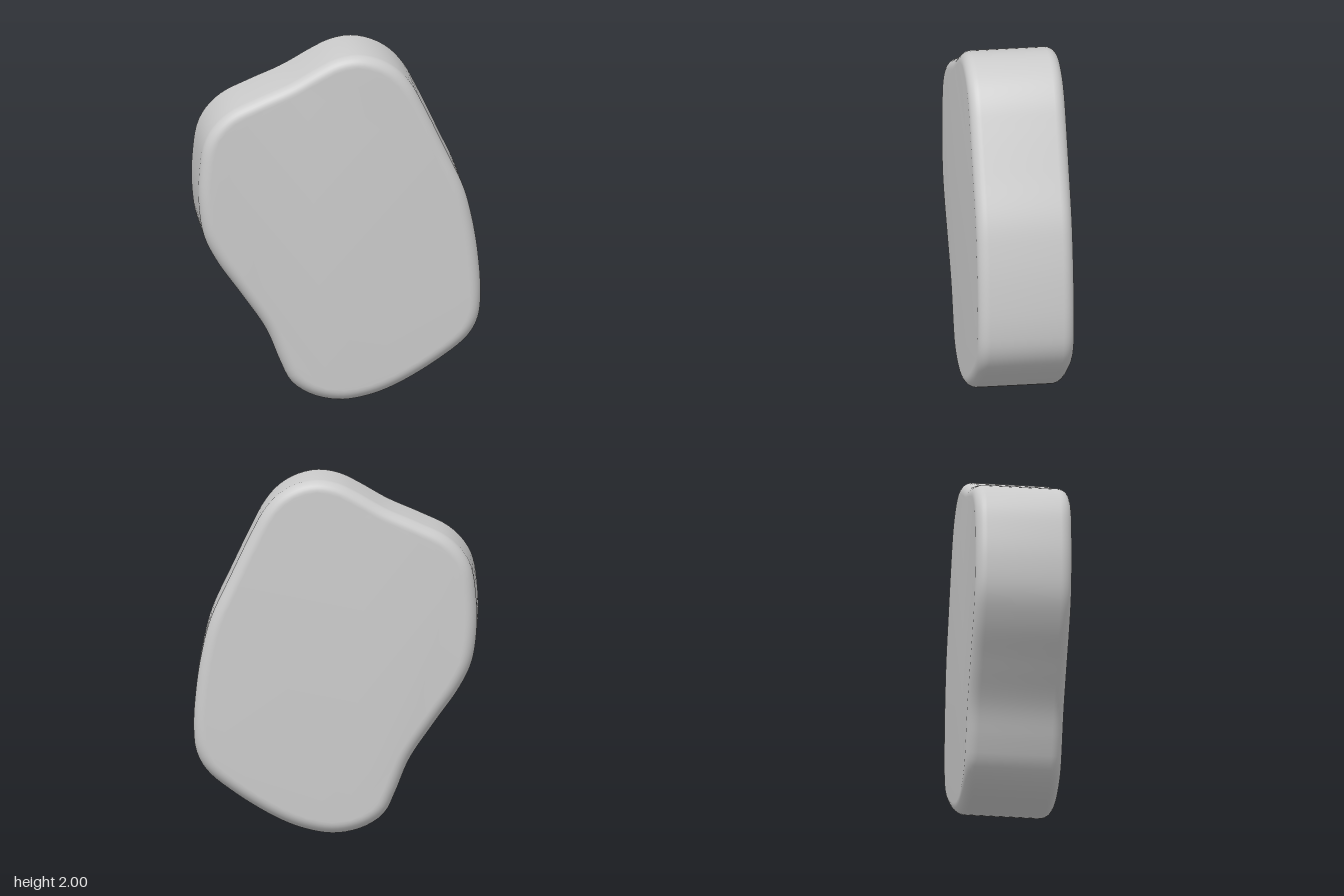
import * as THREE from 'three';
import { mergeVertices, toCreasedNormals } from 'three/addons/utils/BufferGeometryUtils.js';

const DEPTH = 0.545, ROUND = 0.065;

// Irregular pebble outline, counter-clockwise from the lowest point
const OUTLINE = [
  [0.02, 0], [0.17, 0.025], [0.325, 0.085], [0.56, 0.225], [0.72, 0.355], [0.778, 0.46],
  [0.794, 0.6], [0.778, 0.84], [0.745, 1.04], [0.7, 1.21], [0.59, 1.45], [0.47, 1.7],
  [0.405, 1.82], [0.325, 1.913], [0.22, 1.975], [0.1, 2], [-0.02, 1.98], [-0.125, 1.93],
  [-0.285, 1.84], [-0.47, 1.76], [-0.625, 1.685], [-0.715, 1.6], [-0.765, 1.505],
  [-0.79, 1.345], [-0.794, 1.16], [-0.765, 0.97], [-0.695, 0.825], [-0.55, 0.62],
  [-0.415, 0.42], [-0.335, 0.23], [-0.28, 0.12], [-0.2, 0.055], [-0.1, 0.015],
];

export function createModel() {
  const curve = new THREE.CatmullRomCurve3(
    OUTLINE.map(([x, y]) => new THREE.Vector3(x, y, 0)), true, 'centripetal');
  const points = curve.getSpacedPoints(140).slice(0, -1);
  const shape = new THREE.Shape(points.map((p) => new THREE.Vector2(p.x, p.y)));

  // Thick slab with a rounded rim on both faces
  let geometry = new THREE.ExtrudeGeometry(shape, {
    depth: DEPTH - 2 * ROUND,
    bevelEnabled: true,
    bevelThickness: ROUND,
    bevelSize: ROUND,
    bevelOffset: -ROUND,
    bevelSegments: 8,
  });
  geometry.translate(0, 0, ROUND - DEPTH / 2);

  // Smooth shading round the side and rim
  geometry.deleteAttribute('uv');
  geometry.deleteAttribute('normal');
  geometry = toCreasedNormals(mergeVertices(geometry, 1e-4), 0.6);

  const stone = new THREE.Mesh(geometry, new THREE.MeshStandardMaterial({ color: 0xcccccc }));
  stone.name = 'stoneSlab';

  const group = new THREE.Group();
  group.name = 'stone';
  group.add(stone);
  return group;
}
